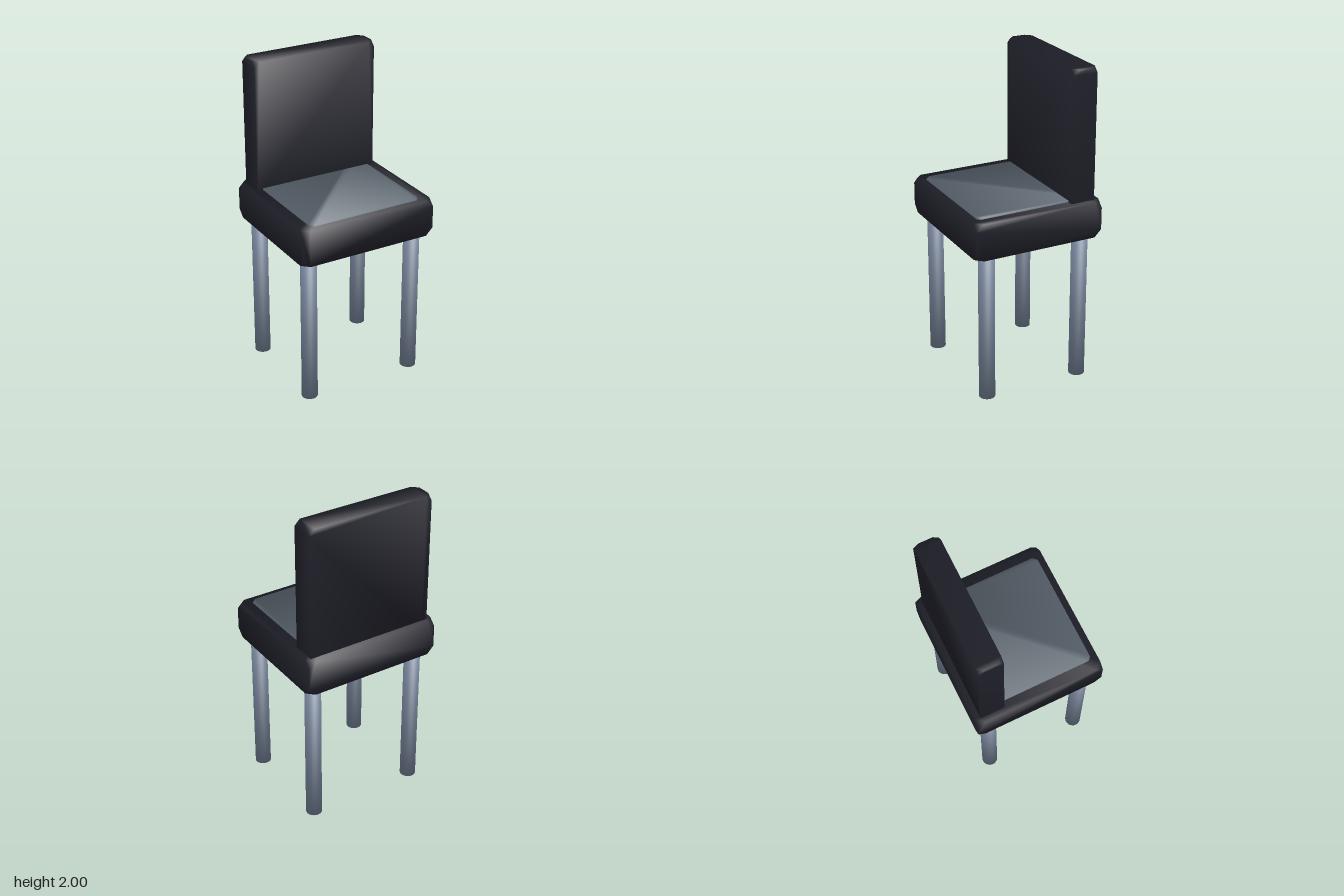
import * as THREE from 'three';
import { mergeVertices } from 'three/addons/utils/BufferGeometryUtils.js';
import { ConvexGeometry } from 'three/addons/geometries/ConvexGeometry.js';

const fabric = new THREE.MeshStandardMaterial({ name: 'darkUpholstery', color: 0x20202a });
const pad = new THREE.MeshStandardMaterial({ name: 'greyPad', color: 0x59636d });
const steel = new THREE.MeshStandardMaterial({ name: 'blueGreySteel', color: 0x77849a });

// Shares corner vertices and gives each a normal from a rule, for soft shading
function softNormals(geometry, rule) {
  geometry.deleteAttribute('normal');
  geometry.deleteAttribute('uv');
  const merged = mergeVertices(geometry, 1e-4);
  merged.computeVertexNormals();
  const pos = merged.attributes.position;
  const v = new THREE.Vector3();
  for (let i = 0; i < pos.count; i++) {
    rule(v.fromBufferAttribute(pos, i));
    v.normalize();
    merged.attributes.normal.setXYZ(i, v.x, v.y, v.z);
  }
  return merged;
}

// Box with its eight corners cut off
function cutCornerBox(w, h, d, cut) {
  const half = [w / 2, h / 2, d / 2];
  const points = [];
  for (const sx of [-1, 1]) for (const sy of [-1, 1]) for (const sz of [-1, 1]) {
    for (let axis = 0; axis < 3; axis++) {
      const s = [sx, sy, sz];
      const p = s.map((sign, k) => sign * (half[k] - (k === axis ? cut : 0)));
      points.push(new THREE.Vector3(...p));
    }
  }
  return softNormals(new ConvexGeometry(points), (v) => {
    const n = v.toArray().map((c, k) =>
      Math.sign(c) * (Math.abs(c) > half[k] - cut / 2 ? 1 : 0.2));
    v.fromArray(n);
  });
}

// Cylinder whose sides blend softly into its end caps
function legGeometry(radius, height) {
  return softNormals(new THREE.CylinderGeometry(radius, radius, height, 32), (v) => {
    const r = Math.hypot(v.x, v.z);
    if (r < radius / 2) v.set(0, Math.sign(v.y), 0);
    else v.set(v.x / r, Math.sign(v.y), v.z / r);
  });
}

export function createModel() {
  const model = new THREE.Group();
  model.name = 'chair';
  const add = (name, geometry, material, x, y, z) => {
    const mesh = new THREE.Mesh(geometry, material);
    mesh.name = name;
    mesh.position.set(x, y, z);
    model.add(mesh);
  };

  // Seat and the pad showing just above it
  add('seat', cutCornerBox(0.89, 0.23, 0.83, 0.045), fabric, 0, 1.065, 0);
  add('seatPad', cutCornerBox(0.745, 0.1, 0.745, 0.03), pad, 0, 1.141, 0);

  // Backrest, sunk into the seat
  add('backrest', cutCornerBox(0.82, 0.88, 0.155, 0.035), fabric, 0, 1.56, -0.3025);

  // Four round legs
  const leg = legGeometry(0.05, 0.98);
  for (const sx of [-1, 1]) for (const sz of [-1, 1]) {
    const name = (sz > 0 ? 'front' : 'back') + (sx > 0 ? 'Left' : 'Right') + 'Leg';
    add(name, leg, steel, sx * 0.36, 0.49, sz * 0.315);
  }
  return model;
}
